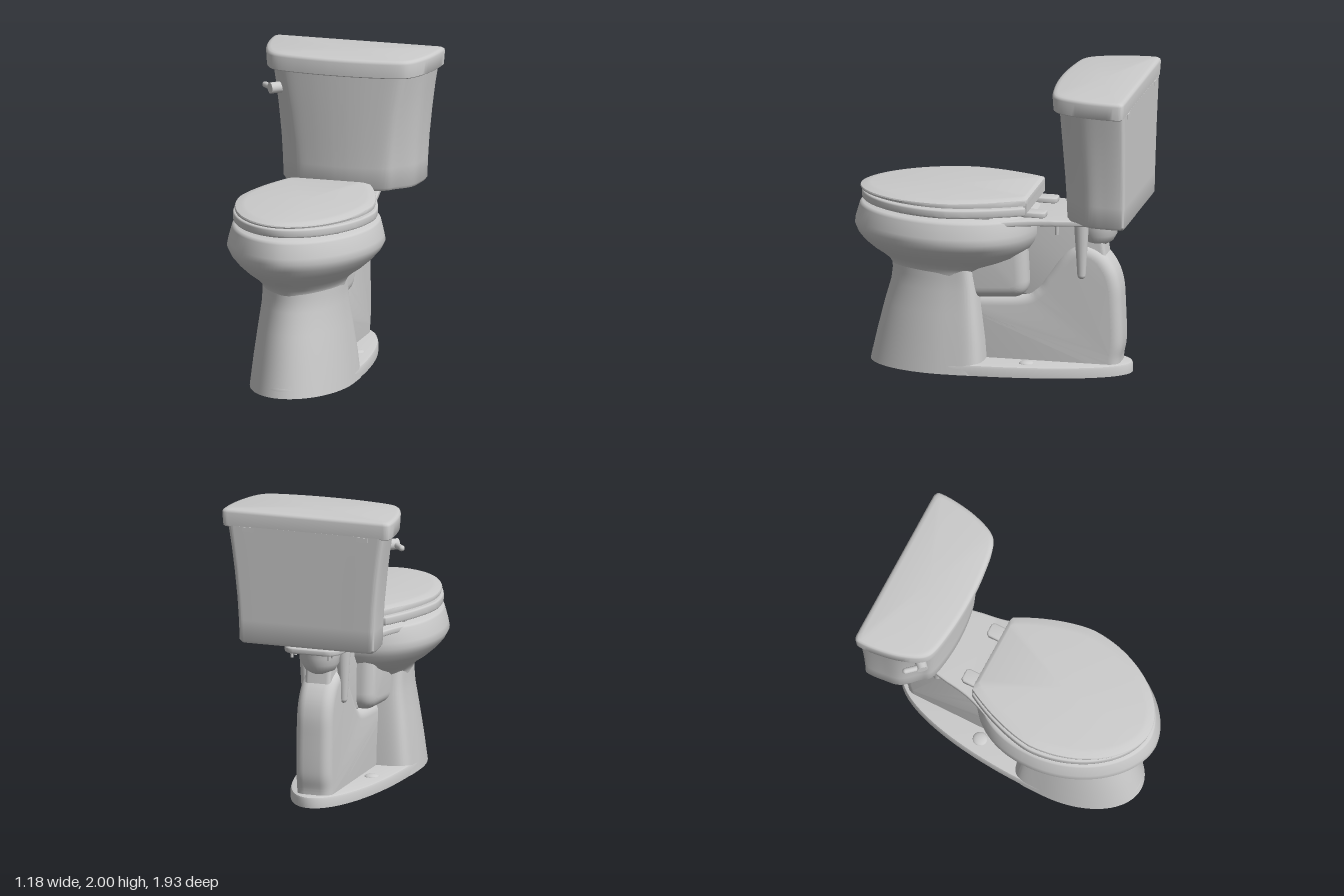
import * as THREE from 'three';
import { toCreasedNormals } from 'three/addons/utils/BufferGeometryUtils.js';

const material = new THREE.MeshStandardMaterial({ color: 0xcccccc });

// Egg-shaped ring: front tip zf, back tip zb, half width w at zc; n, m = squareness of rear and front, cut = straight rear edge
function egg(zf, zb, w, zc, n = 2, m = 2, cut = -9, count = 96) {
  const ring = [];
  for (let i = 0; i < count; i++) {
    const a = (i / count) * Math.PI * 2, c = Math.cos(a), s = -Math.sin(a);
    const e = 2 / (s > 0 ? m : n);
    const x = w * Math.sign(c) * Math.abs(c) ** e;
    const z = zc + (s > 0 ? zf - zc : zb - zc) * Math.abs(s) ** e;
    ring.push([x, Math.max(z, cut)]);
  }
  return ring;
}

// Tank ring: straight back, rounded back corners, sides tapering to a bowed front panel of relative width k
function tankRing(hw, zb, zf, k) {
  const half = [[0, 1], [0.15 * k, 0.997], [0.4 * k, 0.977], [0.7 * k, 0.925], [0.79 * k, 0.88], [0.86 * k, 0.79], [0.945, 0.55],
    [0.988, 0.3], [1, 0.09], [0.988, 0.025], [0.95, 0.003], [0.9, 0], [0.45, 0], [0, 0]];
  const curve = new THREE.CatmullRomCurve3(half.map(([x, t]) => new THREE.Vector3(x * hw, 0, zb + (zf - zb) * t)), false, 'centripetal');
  const pts = curve.getPoints(65).map(p => [Math.max(p.x, 0), p.z]);
  return pts.concat(pts.slice(1, -1).reverse().map(([x, z]) => [-x, z]));
}

// Skin a stack of rings [y, ring] from bottom to top and close both ends
function loft(sections, lift = () => 0, crease = 0.7) {
  const pos = [], idx = [], n = sections[0][1].length, top = sections.length - 1;
  sections.forEach(([y, ring], i) => ring.forEach(([x, z]) => pos.push(x, y + lift(z, i), z)));
  for (let i = 0; i < top; i++) {
    for (let j = 0; j < n; j++) {
      const a = i * n + j, b = i * n + (j + 1) % n;
      idx.push(a, b, b + n, a, b + n, a + n);
    }
  }
  for (const i of [0, top]) {
    const [y, ring] = sections[i], c = pos.length / 3;
    const z = ring.reduce((sum, p) => sum + p[1], 0) / n;
    pos.push(0, y + lift(z, i), z);
    for (let j = 0; j < n; j++) {
      const a = i * n + j, b = i * n + (j + 1) % n;
      if (i) idx.push(c, a, b); else idx.push(c, b, a);
    }
  }
  const geo = new THREE.BufferGeometry();
  geo.setAttribute('position', new THREE.Float32BufferAttribute(pos, 3));
  geo.setIndex(idx);
  return toCreasedNormals(geo, crease);
}

// Side profile in (z, y), extruded across x with rounded edges
function sideExtrude(shape, halfWidth, bevel) {
  const geo = new THREE.ExtrudeGeometry(shape, { depth: 2 * (halfWidth - bevel), bevelSize: bevel, bevelThickness: bevel,
    bevelOffset: -bevel, bevelSegments: 6, curveSegments: 12 });
  geo.translate(0, 0, -(halfWidth - bevel)).rotateY(-Math.PI / 2);
  return toCreasedNormals(geo, 0.7);
}

// Flat outline in (x, z) extruded downwards from y = top
function slab(shape, top, height, bevel) {
  const geo = new THREE.ExtrudeGeometry(shape, { depth: height - 2 * bevel, bevelSize: bevel, bevelThickness: bevel,
    bevelOffset: -bevel, bevelSegments: 3, curveSegments: 16 });
  geo.rotateX(Math.PI / 2).translate(0, top - bevel, 0);
  return toCreasedNormals(geo, 0.7);
}

const toShape = pts => new THREE.Shape(pts.map(p => new THREE.Vector2(p[0], p[1])));

export function createModel() {
  const model = new THREE.Group();
  const add = (name, geo, x = 0, y = 0, z = 0) => {
    const mesh = new THREE.Mesh(geo, material);
    mesh.name = name;
    mesh.position.set(x, y, z);
    model.add(mesh);
  };

  // Foot plate
  const foot = inset => egg(0.85 - inset, -0.9 + inset, 0.335 - inset, 0.22, 2.05);
  add('foot', loft([[0, foot(0)], [0.055, foot(0)], [0.068, foot(0.006)], [0.073, foot(0.02)]]));

  // Front pedestal: y, front z, back z, half width
  add('pedestal', loft([[0, 0.86, 0.05, 0.34], [0.2, 0.815, 0.065, 0.317], [0.4, 0.765, 0.09, 0.29], [0.55, 0.722, 0.11, 0.269],
    [0.63, 0.712, 0.125, 0.264], [0.72, 0.72, 0.14, 0.264]].map(([y, f, b, w]) => [y, egg(f, b, w, 0.3, 6)])));

  // Bowl
  add('bowl', loft([[0.64, 0.709, 0.12, 0.262], [0.67, 0.717, 0.09, 0.266], [0.7, 0.735, 0.03, 0.278], [0.74, 0.785, -0.09, 0.32],
    [0.78, 0.845, -0.17, 0.38], [0.83, 0.905, -0.23, 0.438], [0.88, 0.945, -0.265, 0.484], [0.93, 0.965, -0.28, 0.51],
    [0.97, 0.96, -0.28, 0.502], [1.06, 0.934, -0.28, 0.477], [1.072, 0.929, -0.275, 0.471], [1.08, 0.915, -0.26, 0.457]]
    .map(([y, f, b, w], i) => [y, egg(f, b, w, 0.28, 2.25, Math.max(1.86, 2 - i * 0.025))])));

  // Trapway body with its arched rear
  const trap = new THREE.Shape();
  trap.moveTo(0.3, 0.005);
  trap.lineTo(-0.83, 0.005);
  trap.splineThru([[-0.83, 0.1], [-0.848, 0.22], [-0.842, 0.45], [-0.83, 0.61], [-0.79, 0.73], [-0.71, 0.83], [-0.6, 0.875],
    [-0.52, 0.86], [-0.44, 0.79], [-0.34, 0.65], [-0.27, 0.56], [-0.15, 0.51], [0.3, 0.49]].map(p => new THREE.Vector2(...p)));
  add('trapway', sideExtrude(trap, 0.125, 0.07));

  // Sump under the rear of the bowl, and the web joining it to the trapway
  const sump = new THREE.Shape();
  sump.moveTo(0.25, 0.48);
  sump.lineTo(-0.12, 0.5);
  sump.quadraticCurveTo(-0.23, 0.51, -0.23, 0.62);
  sump.lineTo(-0.21, 1.0);
  sump.lineTo(0.25, 1.0);
  add('sump', sideExtrude(sump, 0.2, 0.08));
  add('web', sideExtrude(toShape([[-0.1, 0.5], [-0.78, 0.5], [-0.7, 1.05], [-0.1, 1.05]]), 0.09, 0.03));

  // Water inlet under the tank
  const inlet = [[0, 0.86], [0.06, 0.87], [0.1, 0.895], [0.125, 0.94], [0.13, 0.99], [0.14, 1.06]];
  add('inlet', new THREE.LatheGeometry(inlet.map(p => new THREE.Vector2(...p)), 32), 0, 0, -0.67);

  // Shelf carrying the tank
  const shelf = new THREE.Shape();
  shelf.moveTo(0.4, -0.04);
  shelf.bezierCurveTo(0.33, -0.18, 0.29, -0.25, 0.27, -0.44);
  shelf.lineTo(0.2, -0.8);
  shelf.quadraticCurveTo(0.18, -0.9, 0.1, -0.9);
  shelf.lineTo(-0.1, -0.9);
  shelf.quadraticCurveTo(-0.18, -0.9, -0.2, -0.8);
  shelf.lineTo(-0.27, -0.44);
  shelf.bezierCurveTo(-0.29, -0.25, -0.33, -0.18, -0.4, -0.04);
  add('shelf', slab(shelf, 1.078, 0.04, 0.01));

  // Seat ring
  const seat = toShape(egg(0.918, -0.54, 0.472, 0.27, 1.5, 1.88, -0.24));
  seat.holes.push(new THREE.Path(egg(0.7, -0.1, 0.27, 0.27).map(p => new THREE.Vector2(...p))));
  add('seat', slab(seat, 1.162, 0.058, 0.012));

  // Seat cover, rising gently to the rear, with a lip folded down behind the seat
  const cover = inset => egg(0.93 - inset, -0.54 + inset, 0.458 - inset, 0.27, 1.5, 1.88, -0.25 + inset * 0.4);
  add('cover', loft([[1.168, cover(0.02)], [1.172, cover(0.004)], [1.18, cover(0)], [1.188, cover(0.004)], [1.2, cover(0.045)], [1.203, cover(0.07)]],
    (z, i) => (i > 1 ? 0.024 * (0.93 - z) / 1.18 : 0)));
  add('coverLip', new THREE.BoxGeometry(0.56, 0.07, 0.025), 0, 1.155, -0.235);

  // Tank: y, half width, back z, front z, front panel width
  add('tank', loft([[1.09, 0.435, -0.915, -0.53, 0.86], [1.096, 0.458, -0.937, -0.505, 0.86], [1.115, 0.472, -0.949, -0.492, 0.86],
    [1.25, 0.477, -0.951, -0.487, 0.87], [1.4, 0.486, -0.954, -0.48, 0.89], [1.6, 0.506, -0.957, -0.468, 0.92],
    [1.75, 0.525, -0.96, -0.46, 0.95], [1.89, 0.547, -0.962, -0.453, 0.97]]
    .map(([y, w, b, f, k]) => [y, tankRing(w, b, f, k)])));
  const lid = i => tankRing(0.59 - i, -0.967 + i, -0.412 - i, 1);
  add('tankLid', loft([[1.88, lid(0.012)], [1.886, lid(0.006)], [1.975, lid(0)], [1.988, lid(0.004)], [1.996, lid(0.014)], [2, lid(0.035)]]));
  add('tankGasket', new THREE.CylinderGeometry(0.16, 0.16, 0.05, 32), 0, 1.08, -0.66);

  // Flush lever on the slanted right corner of the tank
  add('leverPivot', new THREE.CylinderGeometry(0.037, 0.037, 0.08, 24).rotateX(Math.PI / 2).rotateY(-0.83), -0.455, 1.745, -0.535);
  add('leverArm', new THREE.CapsuleGeometry(0.02, 0.12, 6, 16).rotateZ(Math.PI / 2).rotateY(-0.83), -0.505, 1.743, -0.56);

  // Mirrored fittings
  for (const s of [-1, 1]) {
    const hinge = toShape([[-0.05, -0.2], [0.05, -0.2], [0.05, -0.34], [0.035, -0.36], [-0.035, -0.36], [-0.05, -0.34]]);
    add('seatHinge', slab(hinge, 1.115, 0.04, 0.01), s * 0.18);
    add('seatBumper', new THREE.BoxGeometry(0.08, 0.035, 0.08), s * 0.28, 1.09, 0.56);
    add('seatBumper', new THREE.BoxGeometry(0.06, 0.035, 0.12), s * 0.32, 1.09, 0.05);
    add('boltCap', new THREE.SphereGeometry(0.05, 24, 8, 0, Math.PI * 2, 0, Math.PI / 2).scale(1, 0.4, 1), s * 0.2, 0.07, -0.23);
    add('sideRib', new THREE.CylinderGeometry(0.05, 0.028, 0.36, 20), s * 0.13, 0.86, -0.585);
    add('sideRibTip', new THREE.SphereGeometry(0.028, 16, 10), s * 0.13, 0.68, -0.585);
    add('seatBolt', new THREE.CylinderGeometry(0.016, 0.012, 0.09, 12), s * 0.18, 1.005, -0.43);
    for (const z of [-0.66, -0.79, -0.86]) add('shelfPin', new THREE.CylinderGeometry(0.012, 0.01, 0.05, 12), s * 0.13, 1.03, z);
    add('lidClip', new THREE.BoxGeometry(0.08, 0.03, 0.03), s * 0.4, 1.872, -0.952);
  }
  return model;
}
